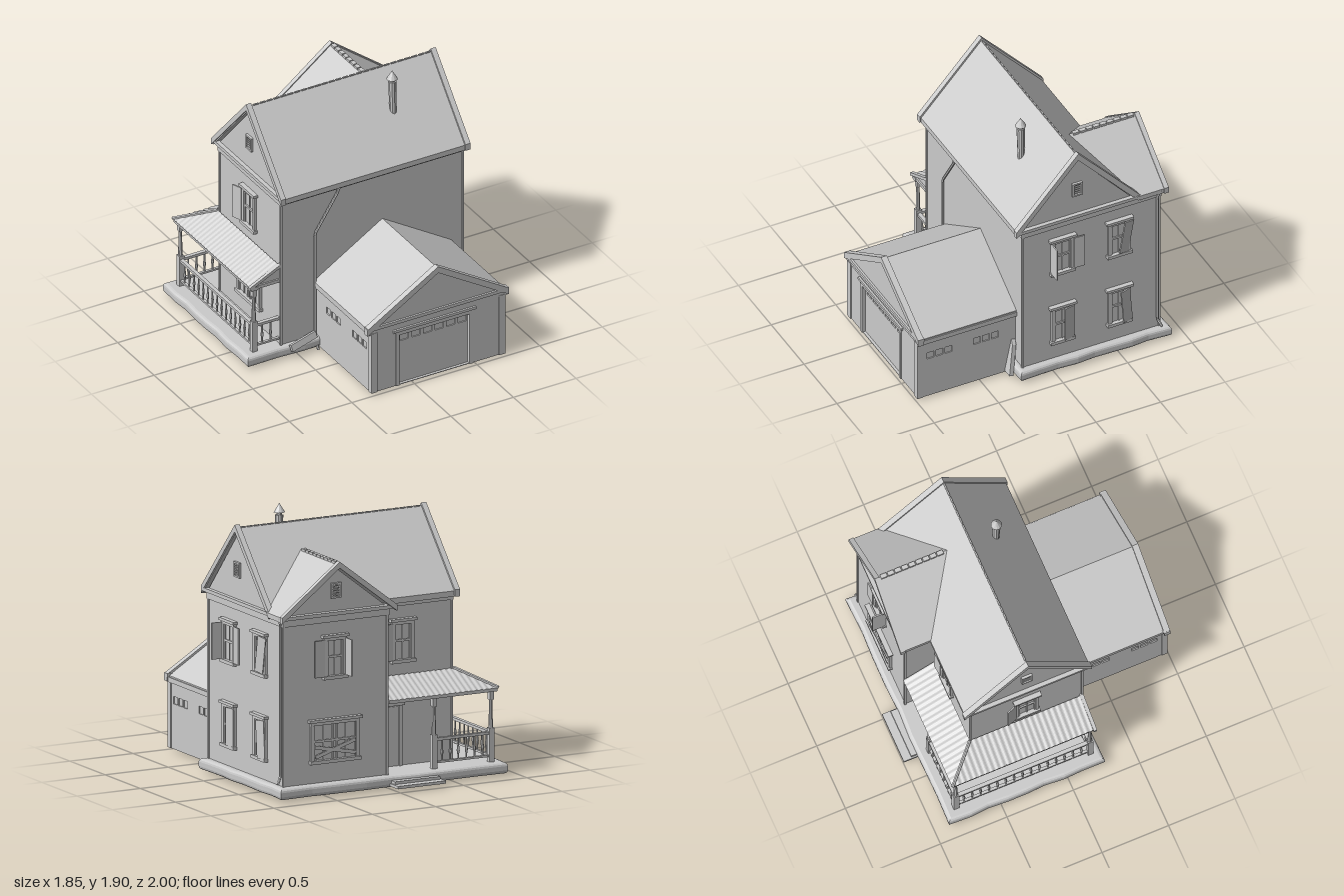
import * as THREE from 'three';

const mat = new THREE.MeshStandardMaterial({ color: 0xcccccc, flatShading: true });
const thin = new THREE.MeshStandardMaterial({ color: 0xcccccc, flatShading: true, side: THREE.DoubleSide });

function add(parent, name, geo, x = 0, y = 0, z = 0, m = mat) {
  const mesh = new THREE.Mesh(geo, m);
  mesh.name = name;
  mesh.position.set(x, y, z);
  parent.add(mesh);
  return mesh;
}
// box given by its min and max corners
function box(parent, name, x0, x1, y0, y1, z0, z1) {
  return add(parent, name, new THREE.BoxGeometry(x1 - x0, y1 - y0, z1 - z0),
    (x0 + x1) / 2, (y0 + y1) / 2, (z0 + z1) / 2);
}
const poly = pts => new THREE.Shape(pts.map(p => new THREE.Vector2(...p)));
const rect = (x0, x1, y0, y1) => poly([[x0, y0], [x1, y0], [x1, y1], [x0, y1]]);
const extrude = (shape, depth) => new THREE.ExtrudeGeometry(shape, { depth, bevelEnabled: false });
const wallShape = (h, y0, eave, top) => poly([[-h, y0], [h, y0], [h, eave], [0, top], [-h, eave]]);
const roofShape = (h, eave, top, t) =>
  poly([[-h, eave - t], [0, top - t], [h, eave - t], [h, eave], [0, top], [-h, eave]]);

function pipe(parent, name, pts, r) {
  const path = new THREE.CurvePath();
  const v = pts.map(p => new THREE.Vector3(...p));
  for (let i = 1; i < v.length; i++) path.add(new THREE.LineCurve3(v[i - 1], v[i]));
  add(parent, name, new THREE.TubeGeometry(path, 40, r, 6), 0, 0, 0, thin);
}

// window facing local +z; each shutter is [side, swing from flat open, tilt]
function addWindow(parent, x, y, z, ry, w, h, sashes = 1, shutters = []) {
  const g = new THREE.Group();
  g.name = 'window';
  g.position.set(x, y, z);
  g.rotation.y = ry;
  parent.add(g);
  const a = w / 2, b = h / 2;
  box(g, 'pane', -a, a, -b, b, -0.01, 0.003);
  for (const s of [-1, 1]) box(g, 'casing', s * a - 0.012, s * a + 0.012, -b, b, 0, 0.02);
  box(g, 'headCasing', -a - 0.012, a + 0.012, b - 0.03, b, 0, 0.022);
  box(g, 'cornice', -a - 0.028, a + 0.028, b - 0.008, b + 0.012, 0, 0.035);
  box(g, 'sill', -a - 0.02, a + 0.02, -b - 0.012, -b + 0.012, 0, 0.032);
  const sw = w / sashes;
  for (let i = 0; i < sashes; i++) {
    const c = -a + sw * (i + 0.5);
    box(g, 'mullion', c - 0.004, c + 0.004, -b, b, 0, 0.01);
    box(g, 'meetingRail', c - sw / 2, c + sw / 2, -0.008, 0.008, 0, 0.013);
    for (const s of [-1, 1]) box(g, 'sashStile', c + s * (sw / 2 - 0.016) - 0.006, c + s * (sw / 2 - 0.016) + 0.006, -b, b, 0, 0.013);
  }
  for (const [side, swing, tilt = 0] of shutters) {
    const leaf = add(g, 'shutter', new THREE.BoxGeometry(0.08, h - 0.03, 0.01).translate(side * 0.04, -0.005, 0),
      side * (a + 0.01), 0, 0.022);
    leaf.rotation.set(0, -side * swing, tilt, 'ZYX');
  }
  return g;
}

// louvred gable vent facing local +z
function addVent(parent, x, y, z, ry) {
  const g = new THREE.Group();
  g.name = 'gableVent';
  g.position.set(x, y, z);
  g.rotation.y = ry;
  parent.add(g);
  for (const s of [-1, 1]) {
    box(g, 'ventSide', s * 0.033 - 0.006, s * 0.033 + 0.006, -0.052, 0.052, 0, 0.018);
    box(g, 'ventEnd', -0.039, 0.039, s * 0.048 - 0.006, s * 0.048 + 0.006, 0, 0.018);
  }
  for (let i = -2; i <= 2; i++) box(g, 'louvre', -0.03, 0.03, i * 0.017 - 0.004, i * 0.017 + 0.004, 0, 0.01);
}

// corrugated strip: rises inward from the outer edge, mitred at its start
function corrugated(parent, along, inward, length) {
  const n = 150, D = 0.23, g = new THREE.PlaneGeometry(1, 1, n, 1), p = g.attributes.position;
  for (let i = 0; i < p.count; i++) {
    const s = (p.getX(i) + 0.5) * length, d = Math.min(D, s) * (p.getY(i) + 0.5);
    p.setXYZ(i, -0.86 + along[0] * s + inward[0] * d,
      0.625 + 0.12 * d / D + 0.003 * Math.sin(s * 150), -0.85 + along[1] * s + inward[1] * d);
  }
  g.computeVertexNormals();
  add(parent, 'porchRoof', g, 0, 0, 0, thin);
}

function railing(parent, x0, z0, x1, z1) {
  const len = Math.hypot(x1 - x0, z1 - z0), g = new THREE.Group();
  g.name = 'railing';
  g.position.set(x0, 0, z0);
  g.rotation.y = -Math.atan2(z1 - z0, x1 - x0);
  box(g, 'topRail', 0, len, 0.295, 0.315, -0.014, 0.014);
  box(g, 'bottomRail', 0, len, 0.135, 0.15, -0.01, 0.01);
  const n = Math.round(len / 0.065);
  const prof = [[0.006, 0], [0.006, 0.03], [0.011, 0.06], [0.006, 0.1], [0.006, 0.15]].map(q => new THREE.Vector2(...q));
  for (let i = 1; i < n; i++) add(g, 'baluster', new THREE.LatheGeometry(prof, 6), i * len / n, 0.148, 0, thin);
  parent.add(g);
}

export function createModel() {
  const house = new THREE.Group();
  house.name = 'house';
  const R = Math.PI / 2;

  // rounded, slightly uneven foundation ring, open below the rooms
  const corners = [[-0.885, -0.25], [0.858, -0.25], [0.858, 0.87], [-0.885, 0.87]], rim = [];
  corners.forEach(([x, y], k) => {
    const [u, v] = corners[(k + 1) % 4];
    for (let i = 0; i < 8; i++) {
      const w = 0.006 * Math.sin(i * 2.3 + k);
      rim.push([x + (u - x) * i / 8 + w, y + (v - y) * i / 8 + w]);
    }
  });
  const ring = poly(rim);
  ring.holes.push(poly([[-0.62, -0.225], [0.825, -0.225], [0.825, 0.825], [0.015, 0.825], [0.015, 0.605], [-0.62, 0.605]]));
  add(house, 'foundation', new THREE.ExtrudeGeometry(ring, { depth: 0.03, bevelSize: 0.025, bevelThickness: 0.025, bevelSegments: 3 }),
    0, 0.045, 0).rotation.x = -R;

  // hollow walls of the main block (ridge along x) and rear wing (ridge along z)
  for (const x of [-0.62, 0.815])
    add(house, 'gableWall', extrude(wallShape(0.42, 0.04, 1.3, 1.77), 0.015), x, 0, -0.19).rotation.y = R;
  add(house, 'wingGableWall', extrude(wallShape(0.41, 0.04, 1.29, 1.61), 0.015), 0.42, 0, -0.83);
  box(house, 'frontWall', -0.62, 0.83, 0.04, 1.3, 0.215, 0.23);
  box(house, 'backWall', -0.62, 0.02, 0.04, 1.3, -0.61, -0.595);
  for (const x of [0.01, 0.815]) box(house, 'wingSideWall', x, x + 0.015, 0.04, 1.29, -0.83, -0.6);

  // roofs: the wing roof is mitred against the main slope
  add(house, 'mainRoof', extrude(roofShape(0.47, 1.3, 1.815, 0.04), 1.5), -0.645, 0, -0.19).rotation.y = R;
  const wingRoof = extrude(roofShape(0.45, 1.305, 1.65, 0.035), 0.57), wp = wingRoof.attributes.position;
  for (let i = 0; i < wp.count; i++)
    if (wp.getZ(i) > 0.3) wp.setZ(i, 0.68 - (1.8 - wp.getY(i)) * 0.47 / 0.515);
  wingRoof.computeVertexNormals();
  add(house, 'wingRoof', wingRoof, 0.415, 0, -0.87);
  for (const x of [-0.655, 0.82])
    add(house, 'rakeBoard', extrude(roofShape(0.48, 1.31, 1.835, 0.05), 0.04), x, 0, -0.19).rotation.y = R;
  add(house, 'rakeBoard', extrude(roofShape(0.455, 1.31, 1.66, 0.045), 0.035), 0.415, 0, -0.885);
  // cornice strips follow the walls, leaving the inside open
  const strips = [[-0.632, 0.842, 0.22, 0.242], [-0.632, 0.01, -0.622, -0.6], [-0.632, -0.61, -0.62, 0.24],
    [0.82, 0.842, -0.84, 0.24], [-0.002, 0.842, -0.842, -0.82], [-0.002, 0.02, -0.84, -0.61]];
  for (const [x0, x1, z0, z1] of strips) {
    box(house, 'frieze', x0, x1, 1.23, 1.285, z0, z1);
    box(house, 'eave', x0 - 0.018, x1 + 0.018, 1.28, 1.305, z0 - 0.028, z1 + 0.028);
  }
  for (let i = 0; i < 26; i++) box(house, 'ridgeCap', -0.6 + i * 0.055, -0.555 + i * 0.055, 1.8, 1.818, -0.195, -0.185);
  for (let i = 0; i < 9; i++) box(house, 'wingRidgeCap', 0.4, 0.43, 1.63, 1.656, -0.84 + i * 0.053, -0.795 + i * 0.053);
  for (const [x, z] of [[-0.62, 0.23], [0.83, 0.23], [-0.62, -0.61], [0.83, -0.83], [0.01, -0.83]])
    box(house, 'cornerBoard', x - 0.008, x + 0.008, 0.1, 1.24, z - 0.008, z + 0.008);

  // windows and gable vents
  addWindow(house, 0.83, 0.985, -0.075, R, 0.15, 0.29, 1, [[-1, R], [1, 0.05]]);
  addWindow(house, 0.83, 0.985, -0.515, R, 0.15, 0.29, 1, [[1, 2.9, -0.17]]);
  addWindow(house, 0.83, 0.395, -0.075, R, 0.15, 0.3, 1, [[1, 2.95]]);
  addWindow(house, 0.83, 0.395, -0.515, R, 0.15, 0.3, 1, [[1, 2.9, 0.08]]);
  addWindow(house, 0.43, 0.985, -0.83, 2 * R, 0.15, 0.29, 1, [[1, R], [-1, 0.05]].map(([s, a]) => [-s, a === R ? 0.05 : R]).map(([s, a]) => [-s, a === R ? 0.05 : R]));
  addWindow(house, -0.23, 0.985, -0.61, 2 * R, 0.15, 0.29, 1, [[-1, 0.1]]);
  addWindow(house, -0.62, 0.985, -0.19, -R, 0.15, 0.29, 1, [[-1, 0.35]]);
  addWindow(house, -0.62, 0.395, -0.19, -R, 0.3, 0.29, 2);
  const boarded = addWindow(house, 0.43, 0.395, -0.83, 2 * R, 0.36, 0.29, 2);
  for (const [y, a] of [[-0.06, 0.3], [-0.07, -0.2]])
    add(boarded, 'nailedBoard', new THREE.BoxGeometry(0.33, 0.025, 0.01), 0, y, 0.02).rotation.z = a;
  addVent(house, 0.83, 1.515, -0.19, R);
  addVent(house, -0.62, 1.515, -0.19, -R);
  addVent(house, 0.42, 1.45, -0.83, 2 * R);

  // back door on the porch
  box(house, 'door', -0.2, -0.05, 0.1, 0.52, -0.617, -0.6);
  for (const x of [-0.21, -0.04]) box(house, 'doorCasing', x - 0.012, x + 0.012, 0.1, 0.54, -0.63, -0.6);
  box(house, 'doorHead', -0.235, -0.015, 0.53, 0.56, -0.64, -0.6);

  // chimney pipe
  add(house, 'chimneyPipe', new THREE.CylinderGeometry(0.03, 0.024, 0.27, 10), 0.395, 1.68, 0.02).rotation.z = 0.03;
  add(house, 'chimneyNeck', new THREE.CylinderGeometry(0.02, 0.02, 0.05, 10), 0.39, 1.83, 0.02);
  add(house, 'chimneyCap', new THREE.ConeGeometry(0.04, 0.065, 10), 0.39, 1.867, 0.02);

  // wraparound porch
  corrugated(house, [0, 1], [1, 0], 1.08);
  corrugated(house, [1, 0], [0, 1], 0.86);
  pipe(house, 'porchHip', [[-0.86, 0.628, -0.85], [-0.63, 0.75, -0.62]], 0.012);
  box(house, 'porchBeamSide', -0.855, -0.8, 0.6, 0.625, -0.84, 0.23);
  box(house, 'porchBeamBack', -0.855, 0, 0.6, 0.625, -0.845, -0.79);
  box(house, 'porchBeamEnd', -0.855, -0.62, 0.605, 0.63, 0.2, 0.225);
  add(house, 'porchEndPanel', extrude(poly([[-0.85, 0.615], [-0.62, 0.615], [-0.62, 0.735]]), 0.008), 0, 0, 0.205);
  add(house, 'porchRakeBoard', extrude(poly([[-0.87, 0.61], [-0.62, 0.73], [-0.62, 0.755], [-0.87, 0.635]]), 0.025), 0, 0, 0.21);
  for (const [x, z] of [[-0.82, 0.2], [-0.82, -0.81], [-0.37, -0.81]]) {
    box(house, 'postBase', x - 0.02, x + 0.02, 0.09, 0.34, z - 0.02, z + 0.02);
    add(house, 'postShaft', new THREE.CylinderGeometry(0.012, 0.016, 0.22, 8), x, 0.44, z);
    box(house, 'postHead', x - 0.016, x + 0.016, 0.54, 0.605, z - 0.016, z + 0.016);
  }
  railing(house, -0.82, 0.2, -0.62, 0.2);
  railing(house, -0.82, -0.81, -0.82, 0.2);
  railing(house, -0.82, -0.81, -0.37, -0.81);
  box(house, 'stepLow', -0.36, 0.02, 0.03, 0.05, -1, -0.88);
  box(house, 'stepHigh', -0.35, 0.01, 0.05, 0.07, -0.94, -0.87);

  // garage: hollow, with a gabled front around the door opening
  const garage = new THREE.Group();
  garage.name = 'garage';
  garage.position.x = 0.195;
  house.add(garage);
  const front = wallShape(0.53, 0.02, 0.52, 0.85);
  front.holes.push(rect(-0.31, 0.25, 0.025, 0.43));
  add(garage, 'garageFrontWall', extrude(front, 0.02), 0, 0, 0.965);
  for (const s of [-1, 1]) {
    // side wall drawn in its own plane: local x runs towards the back
    const side = rect(-0.97, -0.22, 0.02, 0.53);
    for (const z of [0.82, 0.46]) for (let i = -1; i <= 1; i++) {
      const c = z + i * 0.07;
      side.holes.push(rect(-c - 0.027, -c + 0.027, 0.34, 0.393));
      box(garage, 'sideWindowPane', s * 0.52 - 0.002, s * 0.52 + 0.002, 0.335, 0.398, c - 0.03, c + 0.03);
    }
    add(garage, 'garageSideWall', extrude(side, 0.02), s * 0.52 - 0.01, 0, 0).rotation.y = R;
    box(garage, 'sideFrieze', s * 0.54 - 0.012, s * 0.54 + 0.012, 0.49, 0.525, 0.22, 0.99);
    box(garage, 'cornerPost', s * 0.51 - 0.025, s * 0.51 + 0.025, 0.02, 0.5, 0.95, 0.993);
  }
  add(garage, 'garageRoof', extrude(roofShape(0.55, 0.535, 0.875, 0.03), 0.76), -0.005, 0, 0.22);
  add(garage, 'garageRakeBoard', extrude(roofShape(0.565, 0.545, 0.89, 0.05), 0.045), -0.005, 0, 0.955);
  box(garage, 'garageCornice', -0.565, 0.56, 0.525, 0.55, 0.95, 1);
  box(garage, 'garageFrieze', -0.53, 0.53, 0.49, 0.53, 0.96, 0.99);
  for (const x of [-0.325, 0.265]) box(garage, 'doorJamb', x - 0.014, x + 0.014, 0.02, 0.45, 0.96, 0.992);
  box(garage, 'doorLintel', -0.34, 0.28, 0.425, 0.455, 0.96, 0.992);
  box(garage, 'doorCornice', -0.36, 0.3, 0.455, 0.475, 0.96, 1);
  const door = rect(-0.32, 0.26, 0.02, 0.435);
  for (let i = 0; i < 6; i++) {
    const x = -0.255 + i * 0.0925;
    door.holes.push(rect(x - 0.034, x + 0.034, 0.36, 0.408));
    box(garage, 'doorWindowPane', x - 0.037, x + 0.037, 0.357, 0.411, 0.953, 0.957);
  }
  add(garage, 'garageDoor', extrude(door, 0.02), 0, 0, 0.945);

  // downpipes and loose boards leaning at the foundation
  pipe(house, 'frontDownpipe', [[-0.16, 1.29, 0.265], [-0.18, 1.2, 0.245], [-0.355, 0.93, 0.245], [-0.355, 0.11, 0.245], [-0.35, 0.005, 0.28]], 0.01);
  pipe(house, 'backDownpipe', [[0.86, 1.3, -0.83], [0.845, 1.24, -0.81], [0.845, 0.17, -0.81], [0.875, 0.12, -0.83]], 0.01);
  add(house, 'leaningBoard', extrude(poly([[0.725, 0], [0.8, 0], [0.755, 0.23], [0.725, 0.26]]), 0.03), 0, 0.025, 0.285).rotation.x = -0.2;
  add(house, 'looseBoard', new THREE.BoxGeometry(0.22, 0.05, 0.025), -0.47, 0.11, 0.28).rotation.set(-0.3, 0.1, 0.2);
  return house;
}
